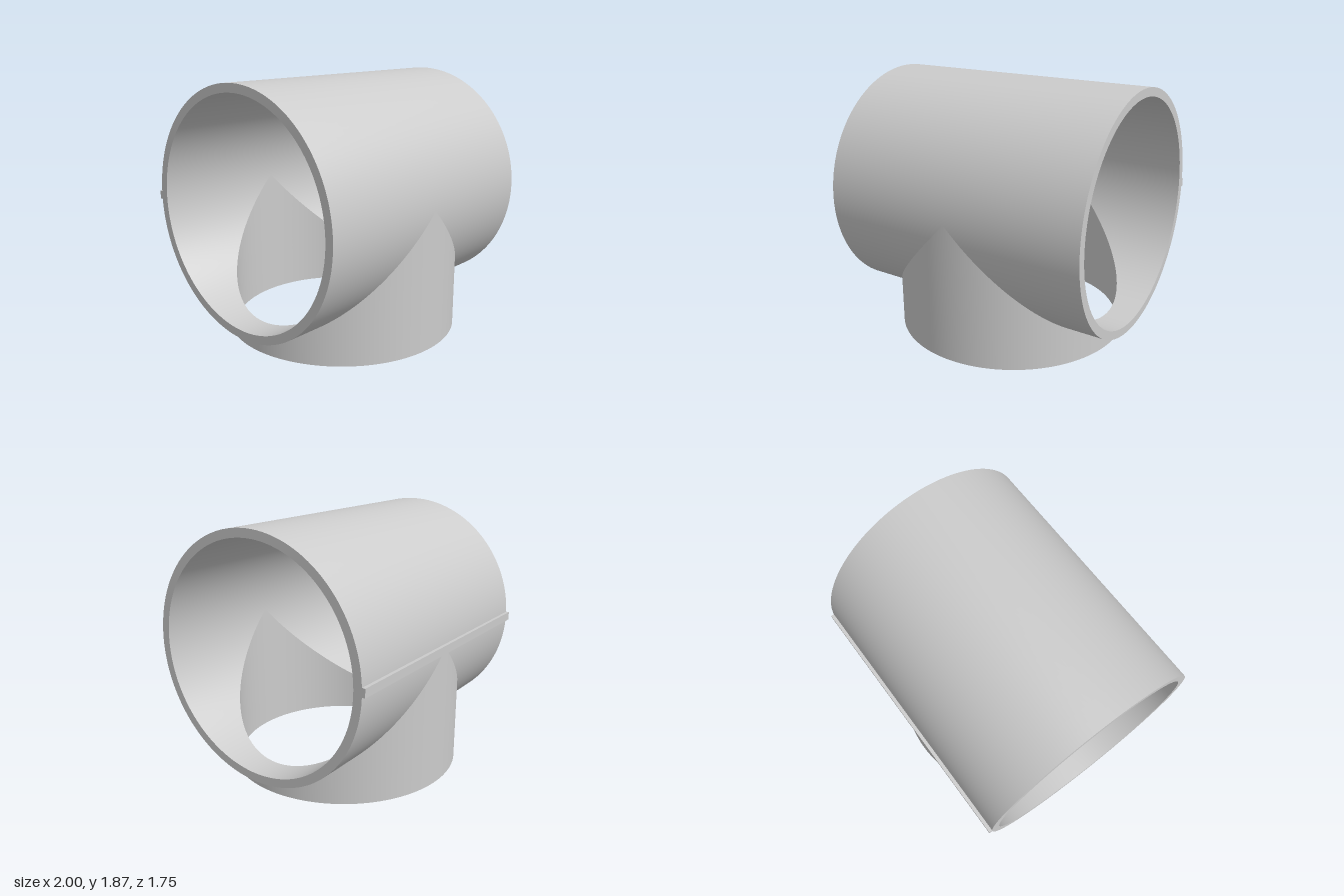
import * as THREE from 'three';
import { mergeGeometries } from 'three/addons/utils/BufferGeometryUtils.js';

const OUTER = 0.8635, INNER = 0.8025; // shared by the run and the branch
const CY = 1.0025, CZ = 0.0115;       // axis of the horizontal run
const SEGS = 128;

// Grid surface from point(angle, t) with exact normals; side = +1 outside, -1 bore
function surface(point, normal, side, rows) {
  const geo = new THREE.PlaneGeometry(1, 1, SEGS, rows);
  const pos = geo.attributes.position, nor = geo.attributes.normal, index = geo.index;
  for (let j = 0, k = 0; j <= rows; j++) {
    for (let i = 0; i <= SEGS; i++, k++) {
      const a = (i / SEGS) * Math.PI * 2;
      pos.setXYZ(k, ...point(a, j / rows));
      nor.setXYZ(k, ...normal(a).map((n) => n * side));
    }
  }
  // Wind every triangle to agree with its normal
  const p = [0, 1, 2].map(() => new THREE.Vector3()), n = new THREE.Vector3();
  for (let f = 0; f < index.count; f += 3) {
    p.forEach((v, c) => v.fromBufferAttribute(pos, index.getX(f + c)));
    n.fromBufferAttribute(nor, index.getX(f));
    const face = p[1].sub(p[0]).cross(p[2].sub(p[0]));
    if (face.dot(n) < 0) {
      const b = index.getX(f + 1);
      index.setX(f + 1, index.getX(f + 2));
      index.setX(f + 2, b);
    }
  }
  return geo;
}

// Half of the horizontal run, its lower side mitred at 45 degrees for the branch
function runHalf(r, side, dir) {
  return surface((a, t) => {
    const start = Math.max(0, -r * Math.sin(a));
    return [dir * (start + (1 - start) * t), CY + r * Math.sin(a), CZ + r * Math.cos(a)];
  }, (a) => [0, Math.sin(a), Math.cos(a)], side, 12);
}

// Vertical branch, rising to the same mitre
function branchWall(r, side) {
  return surface((a, t) => [
    r * Math.cos(a), (CY - r * Math.abs(Math.cos(a))) * t, CZ + r * Math.sin(a),
  ], (a) => [Math.cos(a), 0, Math.sin(a)], side, 12);
}

const rim = () => new THREE.RingGeometry(INNER, OUTER, SEGS);

export function createModel() {
  const group = new THREE.Group();
  const material = new THREE.MeshStandardMaterial({ color: 0xcccccc });
  const add = (name, geometry) => {
    const mesh = new THREE.Mesh(geometry, material);
    mesh.name = name;
    group.add(mesh);
  };

  // Horizontal run: outer skin, bore and two end rims
  const run = [];
  for (const dir of [1, -1]) {
    run.push(runHalf(OUTER, 1, dir), runHalf(INNER, -1, dir));
    run.push(rim().rotateY(dir * Math.PI / 2).translate(dir, CY, CZ));
  }
  add('runPipe', mergeGeometries(run));

  // Branch: outer skin, bore and bottom rim
  add('branchPipe', mergeGeometries([
    branchWall(OUTER, 1),
    branchWall(INNER, -1),
    rim().rotateX(Math.PI / 2).translate(0, 0, CZ),
  ]));

  // Thin rib along the back of the run
  add('backRib', new THREE.BoxGeometry(2, 0.06, 0.04).translate(0, CY, -0.855));

  return group;
}
